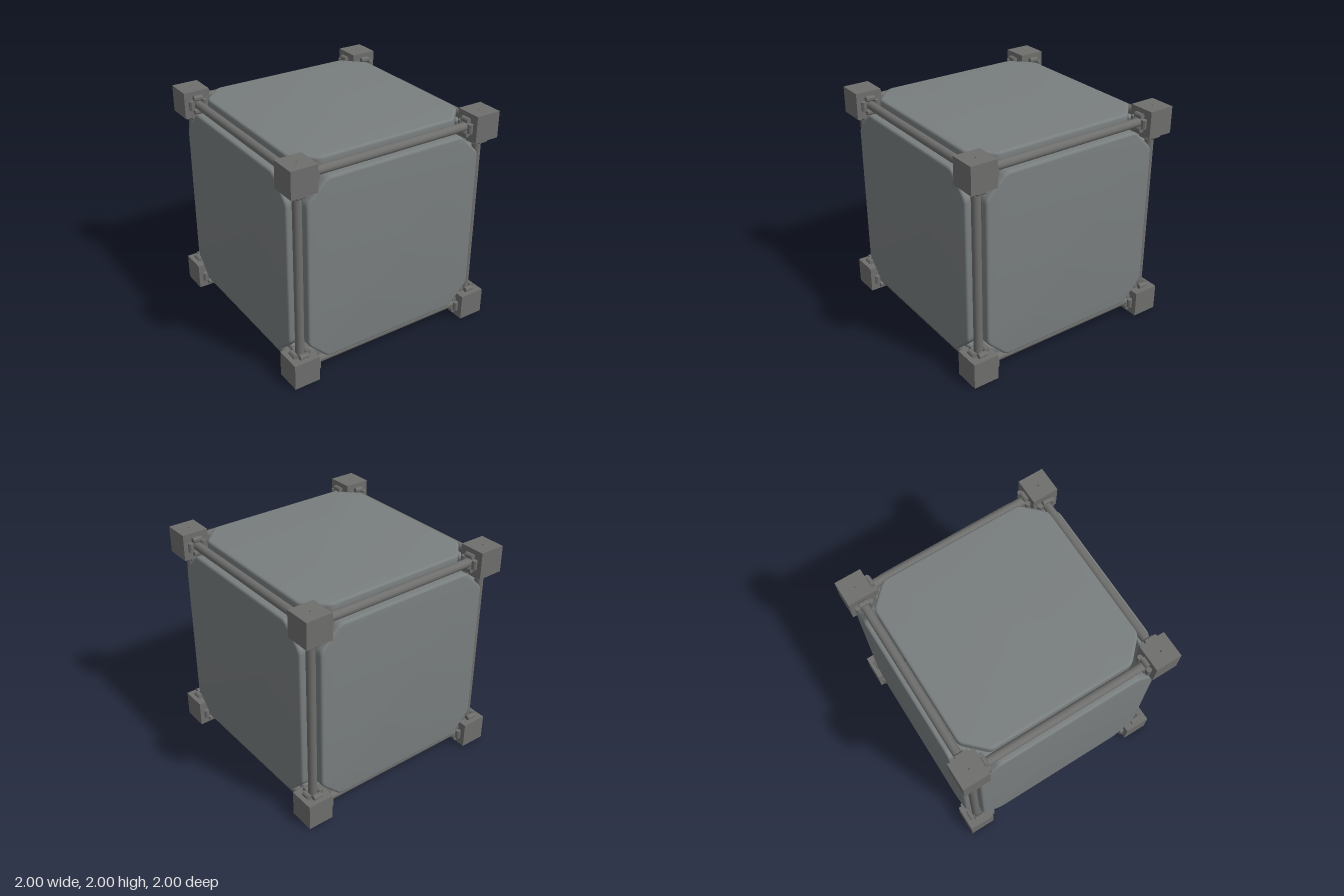
import * as THREE from 'three';
import { toCreasedNormals } from 'three/addons/utils/BufferGeometryUtils.js';

const C = 0.882;      // distance of rods and corner blocks from the centre planes
const BLOCK = 0.236;  // corner block edge
const FACE = 0.957;   // outer face of the panels
const HALF = 0.84;    // half width of the panels

const frameMat = new THREE.MeshStandardMaterial({ color: 0x6e6e6d });
frameMat.name = 'frame grey';
const panelMat = new THREE.MeshStandardMaterial({ color: 0x797e7f });
panelMat.name = 'panel grey';

function add(parent, name, geometry, material) {
  const mesh = new THREE.Mesh(geometry, material);
  mesh.name = name;
  parent.add(mesh);
  return mesh;
}

// Closed outline with slightly rounded corners
function roundedOutline(points, r) {
  const shape = new THREE.Shape();
  points.forEach((p, i) => {
    const a = points[(i + points.length - 1) % points.length];
    const b = points[(i + 1) % points.length];
    const start = p.clone().add(a.clone().sub(p).setLength(r));
    const end = p.clone().add(b.clone().sub(p).setLength(r));
    if (i === 0) shape.moveTo(start.x, start.y);
    else shape.lineTo(start.x, start.y);
    shape.quadraticCurveTo(p.x, p.y, end.x, end.y);
  });
  shape.closePath();
  return shape;
}

// Square slab with cut corners and rounded edges, outer face towards +z
function panelGeometry() {
  const bevel = 0.022, depth = FACE - HALF, h = HALF - bevel, k = h - 0.175;
  const pts = [[k, -h], [h, -k], [h, k], [k, h], [-k, h], [-h, k], [-h, -k], [-k, -h]]
    .map(([x, y]) => new THREE.Vector2(x, y));
  const geo = new THREE.ExtrudeGeometry(roundedOutline(pts, 0.03), {
    depth: depth - 2 * bevel, bevelEnabled: true, bevelSize: bevel,
    bevelThickness: bevel, bevelSegments: 4, curveSegments: 4,
  });
  geo.translate(0, 0, HALF + bevel);
  return toCreasedNormals(geo, 0.6);
}

// Cube with a fine vertical hole
function blockGeometry() {
  const s = BLOCK / 2;
  const shape = new THREE.Shape([[-s, -s], [s, -s], [s, s], [-s, s]].map(([x, y]) => new THREE.Vector2(x, y)));
  const hole = new THREE.Path();
  hole.absarc(0, 0, 0.008, 0, Math.PI * 2, true);
  shape.holes.push(hole);
  const geo = new THREE.ExtrudeGeometry(shape, { depth: BLOCK, bevelEnabled: false, curveSegments: 6 });
  geo.translate(0, 0, -s);
  geo.rotateX(Math.PI / 2);
  return geo;
}

// Small clamp lug with chamfered profile, lying across the rod on its +z side
function lugGeometry() {
  const a = 0.023, b = 0.021, c = 0.012;
  const pts = [[a - c, -b], [a, -b + c], [a, b - c], [a - c, b], [-a + c, b], [-a, b - c], [-a, -b + c], [-a + c, -b]];
  const geo = new THREE.ExtrudeGeometry(new THREE.Shape(pts.map(([x, y]) => new THREE.Vector2(x, y))), {
    depth: 0.08, bevelEnabled: false,
  });
  geo.translate(0, 0, -0.04);
  geo.rotateY(Math.PI / 2);
  geo.translate(0, 0, 0.06);
  return geo;
}

export function createModel() {
  const model = new THREE.Group();
  model.name = 'framedCube';
  const body = new THREE.Group();
  body.name = 'cubeBody';
  body.position.y = 1;
  model.add(body);

  // Six side panels
  const panelGeo = panelGeometry();
  const q = Math.PI / 2;
  [['frontPanel', 0, 0], ['leftPanel', 0, q], ['backPanel', 0, 2 * q], ['rightPanel', 0, -q],
    ['topPanel', -q, 0], ['bottomPanel', q, 0]].forEach(([name, rx, ry]) => {
    add(body, name, panelGeo, panelMat).rotation.set(rx, ry, 0);
  });

  // Eight corner blocks
  const blockGeo = blockGeometry();
  for (const x of [-C, C]) for (const y of [-C, C]) for (const z of [-C, C]) {
    add(body, 'cornerBlock', blockGeo, frameMat).position.set(x, y, z);
  }

  // Twelve edge rods, each with four clamp lugs at both ends
  const rodLength = 2 * (C - BLOCK / 2);
  const rodGeo = new THREE.CylinderGeometry(0.038, 0.038, rodLength, 32);
  const lugGeo = lugGeometry();
  for (const [rx, rz] of [[0, 0], [q, 0], [0, q]]) {
    for (const u of [-C, C]) for (const v of [-C, C]) {
      const edge = new THREE.Group();
      edge.name = 'edgeRod';
      edge.position.set(u, 0, v).applyEuler(new THREE.Euler(rx, 0, rz));
      edge.rotation.set(rx, 0, rz);
      add(edge, 'rod', rodGeo, frameMat);
      for (const end of [-1, 1]) for (let i = 0; i < 4; i++) {
        const lug = add(edge, 'clampLug', lugGeo, frameMat);
        lug.position.y = end * (rodLength / 2 - 0.021);
        lug.rotation.y = i * q;
      }
      body.add(edge);
    }
  }
  return model;
}
